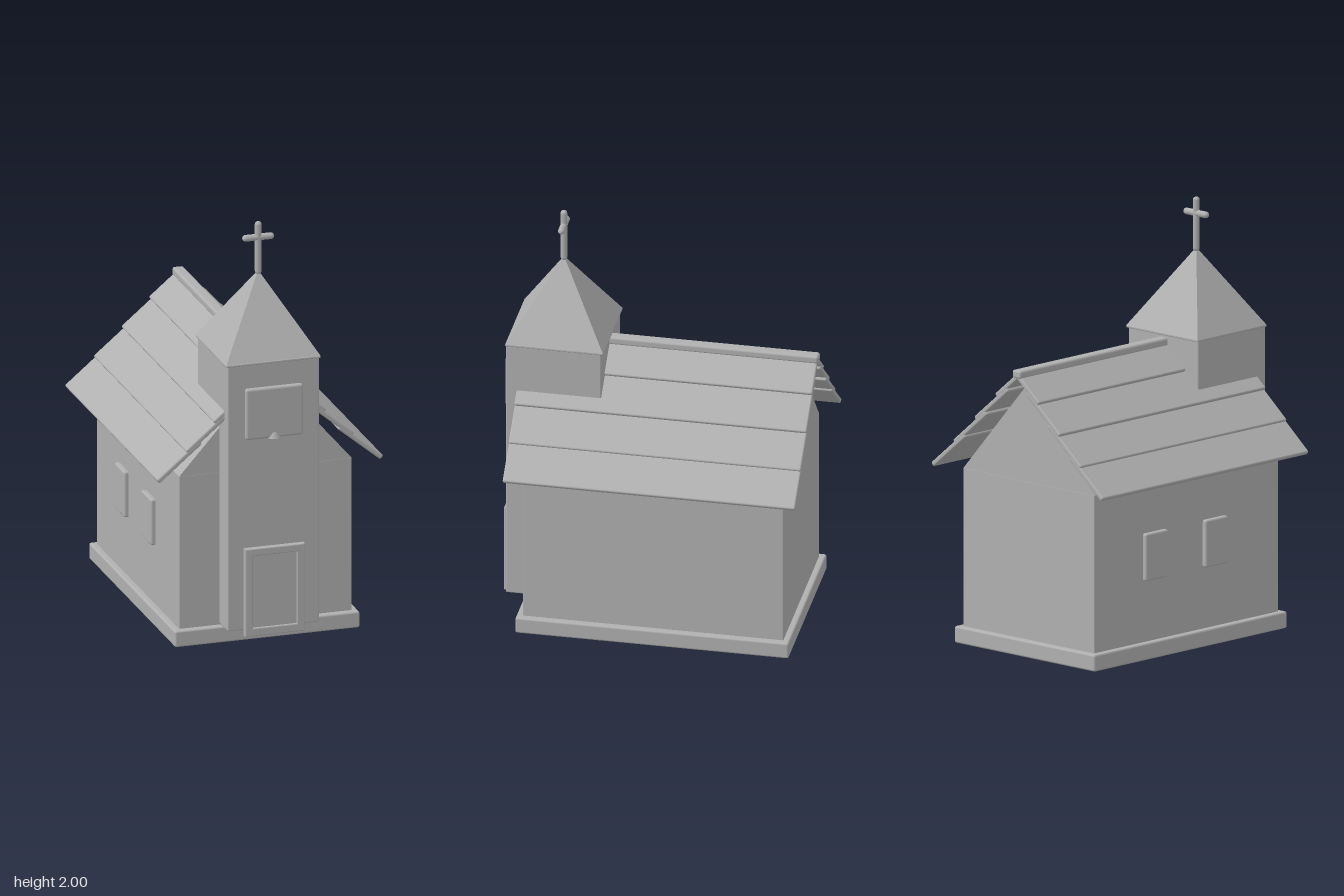
import * as THREE from 'three';
import { RoundedBoxGeometry } from 'three/addons/geometries/RoundedBoxGeometry.js';

const stone = new THREE.MeshStandardMaterial({ color: 0xb0b0b0 });
stone.name = 'stone grey';

export function createModel() {
  const model = new THREE.Group();
  model.name = 'chapel';

  const add = (name, geometry, x = 0, y = 0, z = 0) => {
    const mesh = new THREE.Mesh(geometry, stone);
    mesh.name = name;
    mesh.position.set(x, y, z);
    model.add(mesh);
    return mesh;
  };
  // Softly rounded block given by its limits on each axis
  const block = (name, [x0, x1], [y0, y1], [z0, z1], r = 0.006) =>
    add(name, new RoundedBoxGeometry(x1 - x0, y1 - y0, z1 - z0, 2, r),
      (x0 + x1) / 2, (y0 + y1) / 2, (z0 + z1) / 2);

  // Base and nave
  block('foundation', [-0.45, 0.45], [0, 0.08], [-0.68, 0.61], 0.01);
  block('naveWalls', [-0.42, 0.42], [0.07, 0.83], [-0.65, 0.58], 0.004);

  // Triangular gable prism under the roof
  const gable = new THREE.Shape([
    new THREE.Vector2(-0.42, 0.828),
    new THREE.Vector2(0.42, 0.828),
    new THREE.Vector2(0, 1.3),
  ]);
  add('gable', new THREE.ExtrudeGeometry(gable, { depth: 1.23, bevelEnabled: false }), 0, 0, -0.65);

  // Overlapping roof planks, four on each slope
  const eaves = [[0.545, 0.838], [0.405, 0.967], [0.27, 1.098], [0.136, 1.228]];
  const tilt = Math.atan2(0.17, 0.205);
  eaves.forEach(([x, y], i) => {
    const length = i === 3 ? 0.18 : 0.27;
    for (const side of [-1, 1]) {
      const plank = add('roofPlank', new RoundedBoxGeometry(length, 0.024, 1.38, 2, 0.008),
        side * (x - Math.cos(tilt) * length / 2), y + Math.sin(tilt) * length / 2, -0.04);
      plank.rotation.z = -side * tilt;
    }
  });
  block('ridgeBeam', [-0.028, 0.028], [1.33, 1.37], [-0.735, 0.4], 0.012);

  // Tower with a four-sided spire
  block('tower', [-0.223, 0.223], [0.085, 1.385], [0.25, 0.7]);
  block('spireBase', [-0.23, 0.23], [1.38, 1.392], [0.24, 0.702], 0.004);
  const spire = new THREE.ConeGeometry(0.23 * Math.SQRT2, 0.37, 4, 1);
  spire.rotateY(Math.PI / 4);
  const flatSpire = spire.toNonIndexed();
  flatSpire.computeVertexNormals();
  add('spire', flatSpire, 0, 1.575, 0.47);

  // Cross on top
  add('crossPost', new THREE.CapsuleGeometry(0.016, 0.228, 4, 12), 0, 1.87, 0.47);
  const arm = add('crossArm', new THREE.CapsuleGeometry(0.016, 0.122, 4, 12), 0, 1.922, 0.47);
  arm.rotation.z = Math.PI / 2;

  // Door: a slab with a raised frame around it
  block('door', [-0.13, 0.13], [0.07, 0.475], [0.69, 0.715]);
  const rect = (Type, x, y0, y1) => new Type([
    new THREE.Vector2(-x, y0), new THREE.Vector2(x, y0),
    new THREE.Vector2(x, y1), new THREE.Vector2(-x, y1),
  ]);
  const frame = rect(THREE.Shape, 0.14, 0.062, 0.482);
  frame.holes.push(rect(THREE.Path, 0.112, 0.092, 0.455));
  add('doorFrame', new THREE.ExtrudeGeometry(frame, {
    depth: 0.022, bevelThickness: 0.005, bevelSize: 0.005, bevelSegments: 2,
  }), 0, 0, 0.698);

  // Belfry opening with a small bell
  block('belfryPanel', [-0.14, 0.14], [1.02, 1.27], [0.69, 0.72], 0.012);
  add('bell', new THREE.ConeGeometry(0.034, 0.065, 16), 0, 1.052, 0.702);

  // Side windows on the right wall
  for (const z of [-0.25, 0.15]) {
    block('sideWindow', [-0.442, -0.41], [0.37, 0.595], [z - 0.075, z + 0.075], 0.01);
  }
  return model;
}
